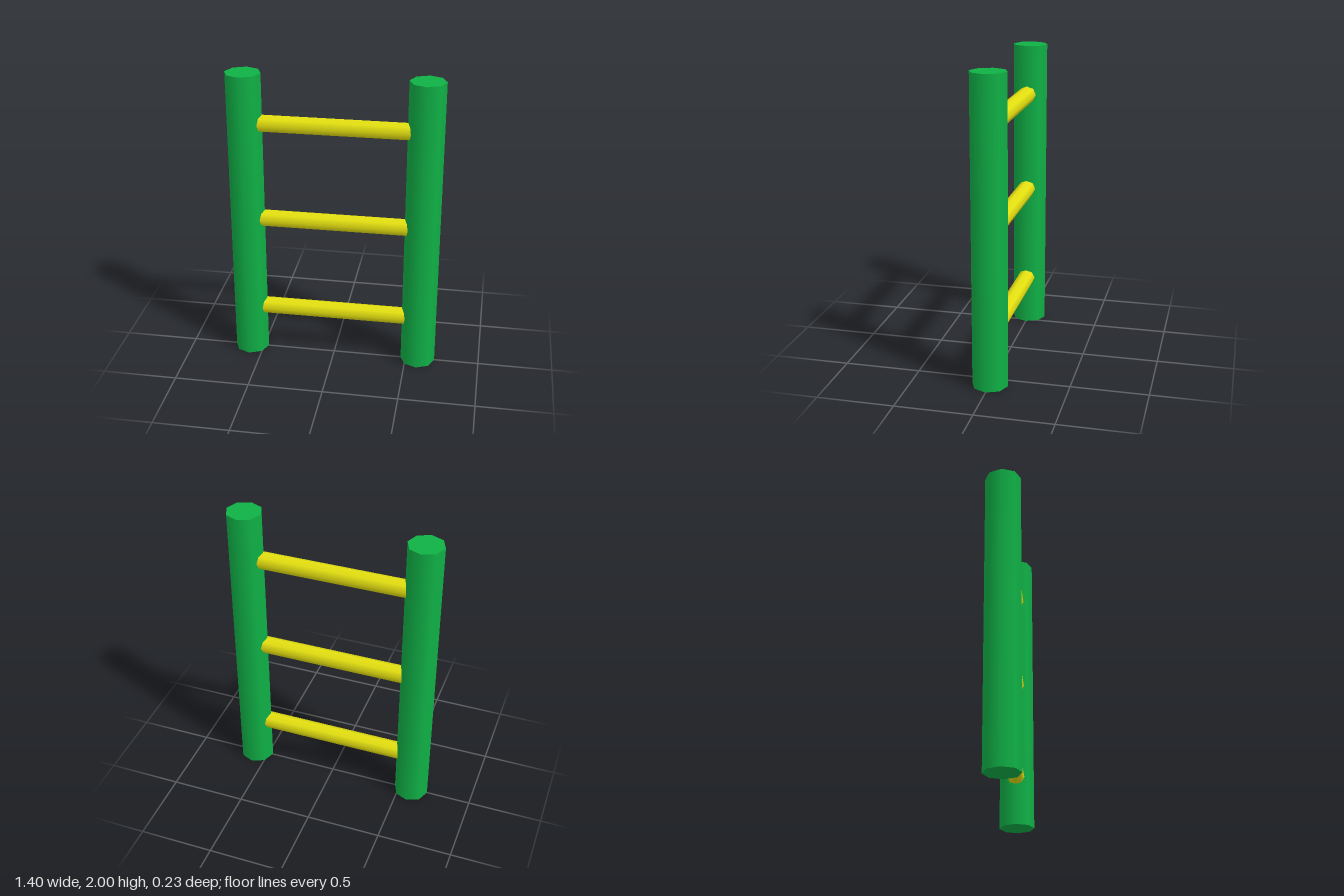
import * as THREE from 'three';

export function createModel() {
  const model = new THREE.Group();
  model.name = 'ladder';

  const green = new THREE.MeshStandardMaterial({ color: 0x10b146 });
  green.name = 'green';
  const yellow = new THREE.MeshStandardMaterial({ color: 0xe4e010 });
  yellow.name = 'yellow';

  const postX = 0.583;
  const postRadius = 0.1165;
  const rungRadius = 0.058;

  // Two upright eight-sided posts
  const postGeometry = new THREE.CylinderGeometry(postRadius, postRadius, 2, 8);
  for (const [name, side] of [['leftPost', 1], ['rightPost', -1]]) {
    const post = new THREE.Mesh(postGeometry, green);
    post.name = name;
    post.position.set(side * postX, 1, 0);
    model.add(post);
  }

  // Three rungs running between the post centres
  const rungGeometry = new THREE.CylinderGeometry(rungRadius, rungRadius, 2 * postX, 8);
  rungGeometry.rotateZ(Math.PI / 2);
  ['lowerRung', 'middleRung', 'upperRung'].forEach((name, i) => {
    const rung = new THREE.Mesh(rungGeometry, yellow);
    rung.name = name;
    rung.position.y = (i + 0.5) * 2 / 3;
    model.add(rung);
  });

  return model;
}
